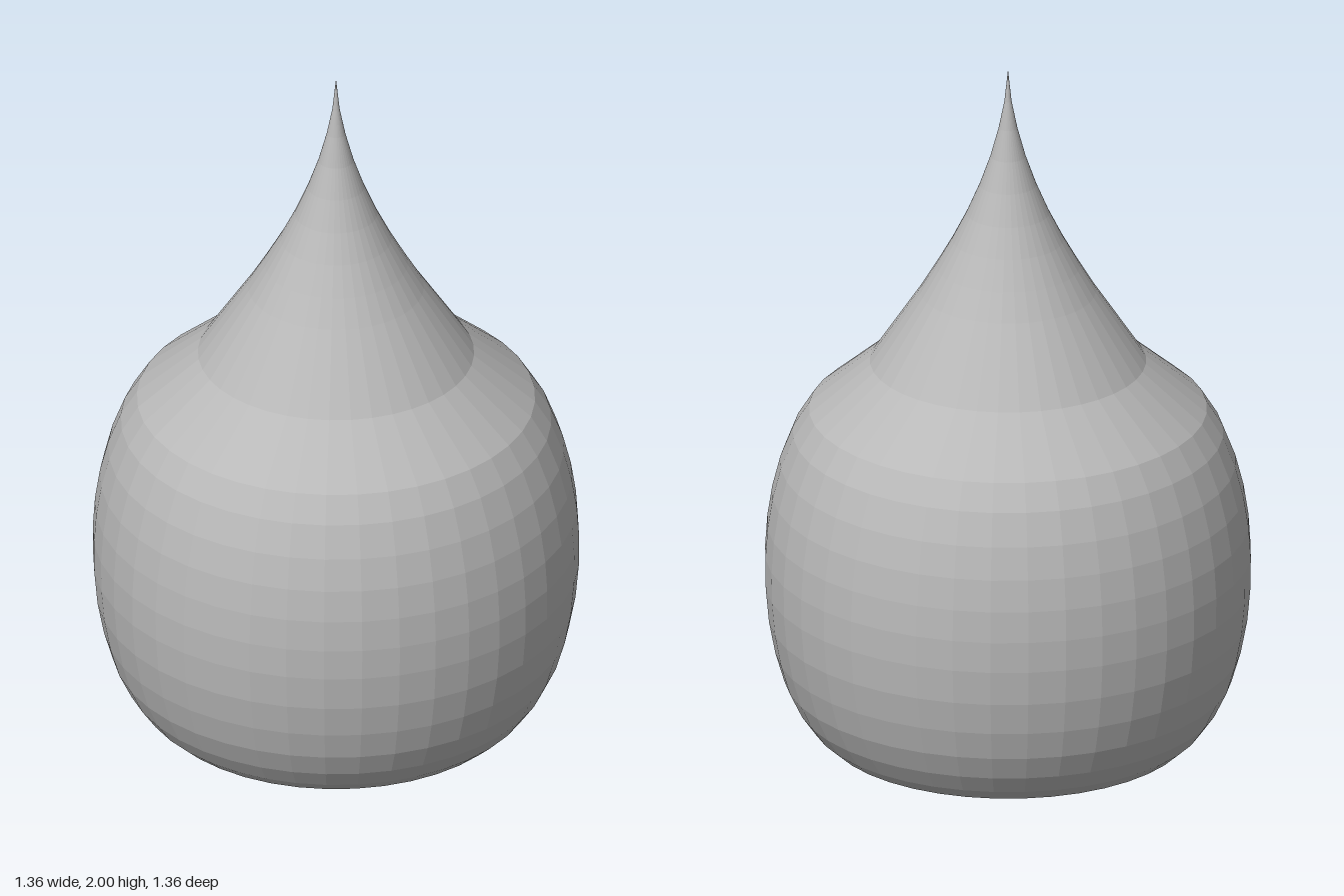
import * as THREE from 'three';

const SIDES = 40;

export function createModel() {
  const group = new THREE.Group();
  const grey = new THREE.MeshStandardMaterial({ color: 0xb8b8b8, flatShading: true });
  grey.name = 'plain grey';

  // Turn a profile of [radius, height] pairs around the y axis
  const turn = (name, profile) => {
    const points = profile.map(([r, y]) => new THREE.Vector2(r, y));
    const mesh = new THREE.Mesh(new THREE.LatheGeometry(points, SIDES), grey);
    mesh.name = name;
    group.add(mesh);
  };

  // Rounded bulb with a flat base and a sloping shoulder
  turn('bulbBody', [
    [0, 0], [0.47, 0], [0.51, 0.014], [0.55, 0.05], [0.59, 0.107], [0.625, 0.18],
    [0.65, 0.265], [0.668, 0.36], [0.677, 0.46], [0.678, 0.55], [0.672, 0.64],
    [0.658, 0.73], [0.635, 0.82], [0.6, 0.91], [0.555, 0.982], [0.385, 1.125],
  ]);

  // Concave spire drawn out to a fine point
  turn('pointedSpire', [
    [0.385, 1.125], [0.345, 1.185], [0.295, 1.26], [0.245, 1.335], [0.2, 1.41],
    [0.155, 1.49], [0.115, 1.57], [0.079, 1.655], [0.049, 1.74], [0.026, 1.825],
    [0.01, 1.905], [0, 2],
  ]);

  return group;
}
